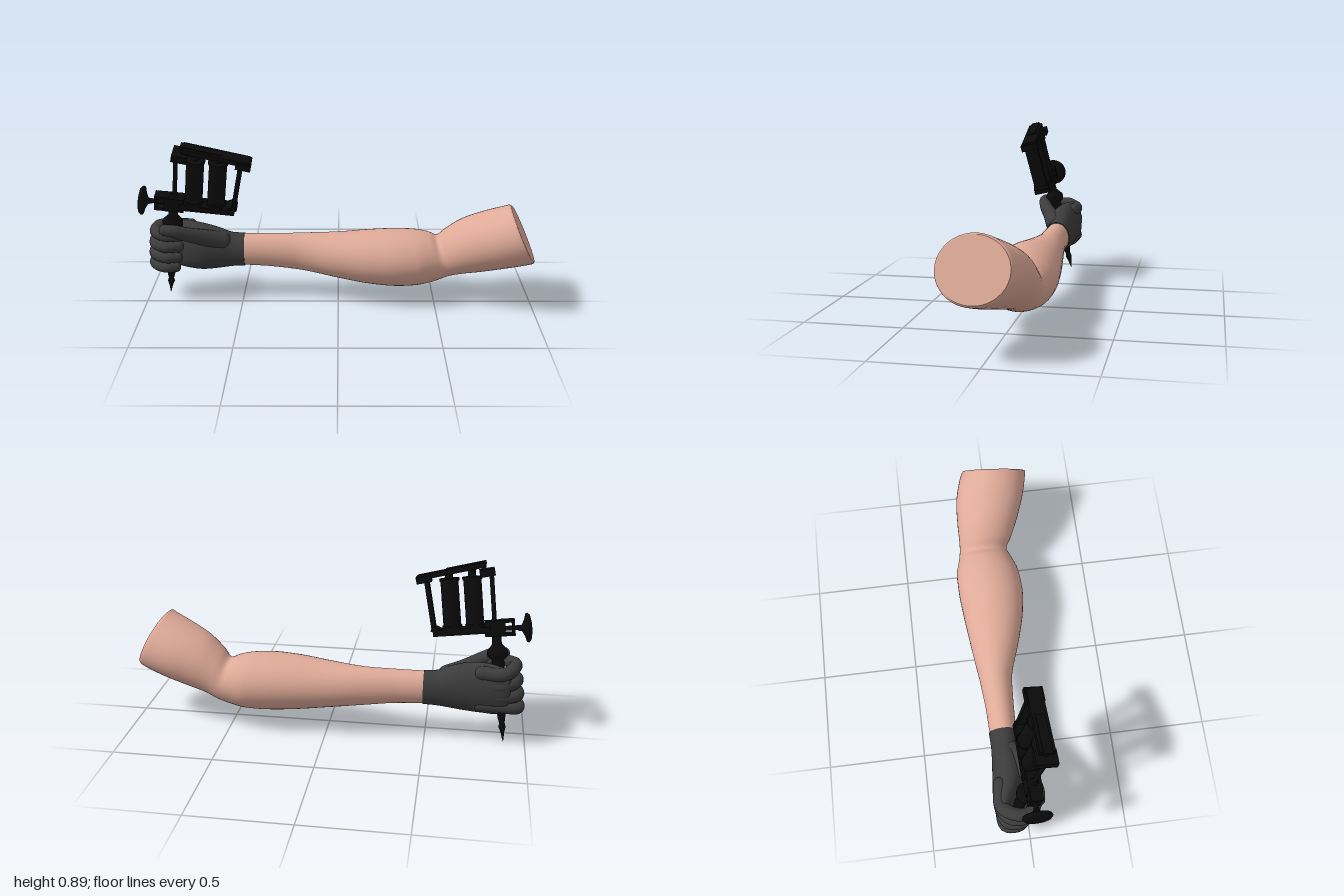
import * as THREE from 'three';

const mat = (name, color, side = THREE.FrontSide) => {
  const m = new THREE.MeshStandardMaterial({ color, side });
  m.name = name;
  return m;
};

// Smooth limb through sections [topX, topY, bottomX, bottomY, zMin, zMax], running towards +x
function limb(sections, skew = 0, per = 6, seg = 40) {
  const curve = (f) => new THREE.CatmullRomCurve3(sections.map(f));
  const top = curve((s) => new THREE.Vector3(s[0], s[1], 0));
  const bottom = curve((s) => new THREE.Vector3(s[2], s[3], 0));
  const depth = curve((s) => new THREE.Vector3(s[4], s[5], 0));
  const n = (sections.length - 1) * per;
  const pos = [], idx = [];
  for (let i = 0; i <= n; i++) {
    const t = top.getPoint(i / n), b = bottom.getPoint(i / n), d = depth.getPoint(i / n);
    const zr = (d.y - d.x) / 2, k = skew * Math.max(0, (i / n - 0.7) / 0.3);
    for (let j = 0; j < seg; j++) {
      const a = (j / seg) * Math.PI * 2, u = Math.cos(a) / 2, z = zr * Math.sin(a);
      pos.push((t.x + b.x) / 2 + (t.x - b.x) * u - k * z, (t.y + b.y) / 2 + (t.y - b.y) * u, (d.x + d.y) / 2 + z);
    }
  }
  for (let i = 0; i < n; i++) {
    for (let j = 0; j < seg; j++) {
      const a = i * seg + j, c = i * seg + ((j + 1) % seg);
      idx.push(a, c, a + seg, c, c + seg, a + seg);
    }
  }
  // End caps with their own vertices, so the rims stay crisp
  for (const end of [0, n]) {
    const base = pos.length / 3, mid = [0, 0, 0];
    for (let j = 0; j < seg; j++) {
      const p = pos.slice((end * seg + j) * 3, (end * seg + j) * 3 + 3);
      pos.push(...p);
      p.forEach((v, q) => { mid[q] += v / seg; });
    }
    pos.push(...mid);
    for (let j = 0; j < seg; j++) {
      const a = base + j, c = base + ((j + 1) % seg);
      if (end) idx.push(base + seg, a, c); else idx.push(base + seg, c, a);
    }
  }
  const g = new THREE.BufferGeometry();
  g.setAttribute('position', new THREE.Float32BufferAttribute(pos, 3));
  g.setIndex(idx);
  g.computeVertexNormals();
  return g;
}

export function createModel() {
  const skin = mat('skin', 0xdfaa98);
  const glove = mat('glove grey', 0x3c3c3c);
  const black = mat('machine black', 0x0b0b0b);
  const model = new THREE.Group();
  model.name = 'tattooingArm';

  const add = (parent, name, geo, material, p = [0, 0, 0], r = [0, 0, 0]) => {
    const m = new THREE.Mesh(geo, material);
    m.name = name;
    m.position.set(...p);
    m.rotation.set(...r);
    parent.add(m);
    return m;
  };

  // Bare arm: forearm, bent elbow, cut upper arm
  add(model, 'arm', limb([
    [-0.49, 0.358, -0.49, 0.19, -0.145, -0.01],
    [-0.35, 0.358, -0.35, 0.182, -0.15, -0.005],
    [-0.2, 0.36, -0.2, 0.163, -0.163, 0.005],
    [0, 0.37, 0, 0.132, -0.188, 0.068],
    [0.15, 0.384, 0.15, 0.11, -0.205, 0.108],
    [0.29, 0.39, 0.3, 0.098, -0.217, 0.125],
    [0.4, 0.384, 0.42, 0.102, -0.218, 0.115],
    [0.47, 0.37, 0.5, 0.118, -0.2, 0.088],
    [0.51, 0.354, 0.57, 0.142, -0.188, 0.07],
    [0.55, 0.392, 0.63, 0.165, -0.183, 0.1],
    [0.63, 0.455, 0.73, 0.19, -0.182, 0.145],
    [0.74, 0.507, 0.86, 0.225, -0.172, 0.19],
    [0.835, 0.546, 0.97, 0.257, -0.14, 0.215],
    [0.855, 0.555, 0.994, 0.267, -0.127, 0.217],
    [0.866, 0.55, 0.998, 0.275, -0.12, 0.211],
  ], 0.1), skin);

  // Gloved hand: cuff and palm
  const hand = new THREE.Group();
  hand.name = 'glovedHand';
  model.add(hand);
  add(hand, 'palm', limb([
    [-0.91, 0.37, -0.91, 0.23, -0.15, -0.1],
    [-0.895, 0.405, -0.895, 0.195, -0.163, -0.085],
    [-0.85, 0.425, -0.85, 0.172, -0.168, -0.065],
    [-0.78, 0.428, -0.78, 0.165, -0.165, -0.02],
    [-0.7, 0.418, -0.7, 0.165, -0.157, 0.005],
    [-0.62, 0.395, -0.62, 0.174, -0.15, 0.002],
    [-0.55, 0.367, -0.55, 0.183, -0.147, -0.006],
    [-0.486, 0.362, -0.486, 0.186, -0.149, -0.006],
  ]), glove);

  // Tapered digit with rounded ends
  const digit = (name, points, r0, r1) => {
    const curve = new THREE.CatmullRomCurve3(points.map((p) => new THREE.Vector3(...p)));
    const n = 28, ring = 17, geo = new THREE.TubeGeometry(curve, n, 1, ring - 1);
    const p = geo.attributes.position, v = new THREE.Vector3();
    for (let i = 0; i < p.count; i++) {
      const t = Math.floor(i / ring) / n, c = curve.getPointAt(t);
      v.fromBufferAttribute(p, i).sub(c).multiplyScalar(r0 + (r1 - r0) * t).add(c);
      p.setXYZ(i, v.x, v.y, v.z);
    }
    add(hand, name, geo, glove);
    add(hand, name + 'Base', new THREE.SphereGeometry(r0, 16, 12), glove, points[0]);
    add(hand, name + 'Tip', new THREE.SphereGeometry(r1, 16, 12), glove, points[points.length - 1]);
  };

  // Four fingers curled round the grip, whose axis passes through (ax, y, az)
  [['index', 0.4, 0.036], ['middle', 0.333, 0.037], ['ring', 0.268, 0.036], ['little', 0.206, 0.033]]
    .forEach(([name, y, r], i) => {
      const ax = -0.895 + 0.123 * y, az = -0.107 + 0.223 * y;
      const k = y + (0.3 - y) * 0.12;
      digit(name + 'Finger', [
        [-0.77, k, -0.125], [-0.875, k, -0.132], [ax - 0.078, y + 0.004, az - 0.06],
        [ax - 0.082, y, az + 0.015], [ax - 0.02, y - 0.005, az + 0.058],
        [ax + 0.04 - i * 0.004, y - 0.008, az + 0.045],
      ], r, r * 0.8);
    });
  digit('thumb', [
    [-0.6, 0.335, -0.045], [-0.69, 0.367, -0.01], [-0.77, 0.4, 0.03], [-0.83, 0.425, 0.05], [-0.875, 0.43, 0.05],
  ], 0.048, 0.029);

  // Tattoo machine, upright in its own frame with the needle point at the origin
  const machine = new THREE.Group();
  machine.name = 'tattooMachine';
  machine.position.set(-0.895, 0.01, -0.105);
  machine.rotation.set(0.22, 0, -0.12);
  model.add(machine);
  const box = (name, w, h, d, p, rz = 0) => add(machine, name, new THREE.BoxGeometry(w, h, d), black, p, [0, 0, rz]);
  const rod = (name, r, h, p, r2 = r, rot) => add(machine, name, new THREE.CylinderGeometry(r2, r, h, 20), black, p, rot);
  const lathe = (name, pts, p, rot) => add(machine, name,
    new THREE.LatheGeometry(pts.map((q) => new THREE.Vector2(...q)), 20), black, p, rot);

  // Needle, tube and grip
  lathe('needleAndGrip', [
    [0, 0], [0.004, 0.02], [0.009, 0.05], [0.018, 0.08], [0.013, 0.1], [0.018, 0.12], [0.021, 0.15],
    [0.03, 0.18], [0.03, 0.42], [0.05, 0.44], [0.052, 0.465], [0.036, 0.485], [0.024, 0.5], [0.02, 0.62], [0, 0.62],
  ]);

  // Tube clamp with thumbscrew
  box('clampBlock', 0.1, 0.075, 0.07, [0.005, 0.58, 0]);
  for (const s of [-1, 1]) box('clampJaw', 0.075, 0.014, 0.06, [-0.055, 0.58 + s * 0.033, 0]);
  box('clampEnd', 0.014, 0.07, 0.06, [-0.085, 0.58, 0]);
  rod('screwShaft', 0.012, 0.14, [-0.08, 0.575, 0], 0.012, [0, 0, Math.PI / 2]);
  lathe('thumbscrew', [
    [0, 0], [0.012, 0], [0.016, 0.02], [0.045, 0.034], [0.07, 0.04], [0.074, 0.05], [0.062, 0.062], [0.03, 0.068], [0, 0.068],
  ], [-0.105, 0.572, 0], [0, 0, Math.PI / 2]);

  // Frame
  box('basePlate', 0.28, 0.032, 0.088, [0.168, 0.577, 0]);
  rod('frontPost', 0.011, 0.28, [0.005, 0.735, 0]);
  box('frontBlock', 0.075, 0.035, 0.105, [0.025, 0.857, 0], -0.1);
  box('rearPost', 0.024, 0.26, 0.07, [0.312, 0.712, 0], -0.08);
  box('rearFoot', 0.04, 0.03, 0.08, [0.295, 0.592, 0], 0.5);

  // Twin coils with end flanges
  for (const x of [0.1, 0.212]) {
    rod('coil', 0.044, 0.25, [x, 0.715, 0]);
    for (const y of [0.6, 0.835]) rod('coilFlange', 0.049, 0.014, [x, y, 0]);
    rod('coilCore', 0.02, 0.05, [x, 0.85, 0]);
  }

  // Armature bar, spring and rear mount
  box('topBar', 0.33, 0.026, 0.075, [0.2, 0.876, 0], -0.125);
  box('spring', 0.2, 0.014, 0.045, [0.125, 0.897, 0], -0.125);
  box('rearMount', 0.075, 0.034, 0.09, [0.335, 0.846, 0], -0.1);
  rod('contactScrew', 0.012, 0.06, [0.04, 0.88, 0]);

  return model;
}
